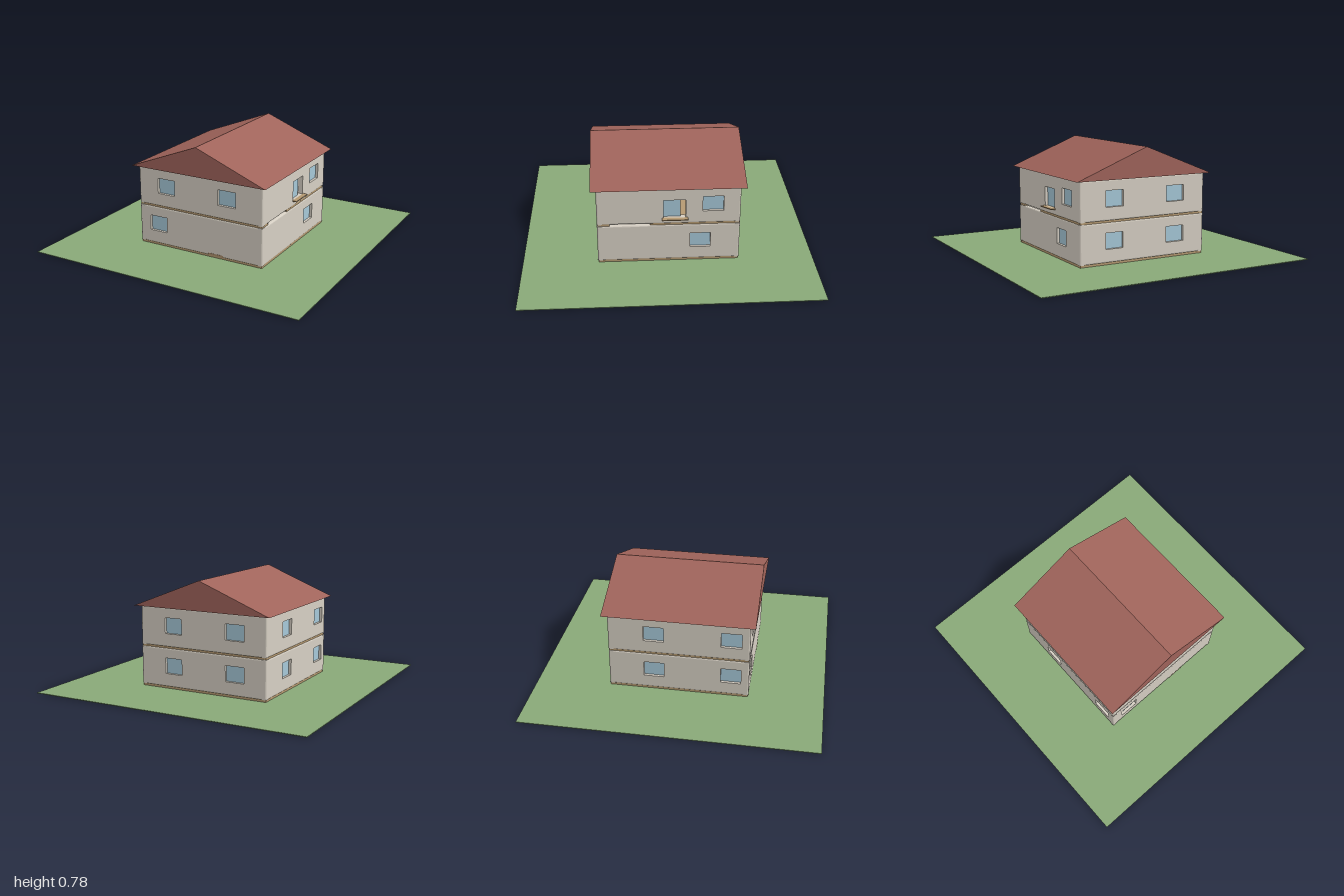
import * as THREE from 'three';

const HALF = 0.485;      // half width of the house
const THICK = 0.04;      // wall thickness
const BEVEL = 0.01;      // rounding of wall edges

const mat = (color, extra = {}) => new THREE.MeshStandardMaterial({ color, ...extra });
const wallMat = mat(0xd6cfc3);
const glassMat = mat(0xa6c8d8);
const doorMat = mat(0xa88a6a);
const slabMat = mat(0xb59a72);
const roofMat = mat(0xa0645b, { flatShading: true });
const grassMat = mat(0x88a878);

function box(name, material, [x0, x1], [y0, y1], [z0, z1]) {
  const mesh = new THREE.Mesh(new THREE.BoxGeometry(x1 - x0, y1 - y0, z1 - z0), material);
  mesh.position.set((x0 + x1) / 2, (y0 + y1) / 2, (z0 + z1) / 2);
  mesh.name = name;
  return mesh;
}

function rectangle(path, x0, x1, y0, y1) {
  path.moveTo(x0, y0);
  path.lineTo(x1, y0);
  path.lineTo(x1, y1);
  path.lineTo(x0, y1);
  path.closePath();
  return path;
}

// Wall panel with rounded outer edges and square-cut openings [x0, x1, y0, y1]
function wallGeometry(y0, y1, openings) {
  const shape = rectangle(new THREE.Shape(), -HALF, HALF, y0, y1);
  shape.holes = openings.map((o) => rectangle(new THREE.Path(), ...o));
  const geo = new THREE.ExtrudeGeometry(shape, {
    depth: THICK - 2 * BEVEL, bevelEnabled: true, bevelThickness: BEVEL,
    bevelSize: BEVEL, bevelOffset: -BEVEL, bevelSegments: 3,
  });
  geo.translate(0, 0, HALF - THICK + BEVEL);
  // Pull the bevel of the openings back to straight reveals
  const p = geo.attributes.position;
  const e = BEVEL + 0.001;
  for (let i = 0; i < p.count; i++) {
    const x = p.getX(i), y = p.getY(i);
    for (const [a, b, c, d] of openings) {
      if (x > a - e && x < b + e && y > c - e && y < d + e) {
        p.setX(i, THREE.MathUtils.clamp(x, a, b));
        p.setY(i, THREE.MathUtils.clamp(y, c, d));
      }
    }
  }
  geo.computeVertexNormals();
  return geo;
}

// One storey wall with its glazing, facing +z and then turned to its side
function wall(name, angle, [y0, y1], windows, extraOpenings = []) {
  const g = new THREE.Group();
  g.name = name;
  const sill = y0 + 0.09, head = y0 + 0.2;
  const openings = windows.map(([a, b]) => [a, b, sill, head]);
  const panel = new THREE.Mesh(wallGeometry(y0, y1, [...openings, ...extraOpenings]), wallMat);
  panel.name = 'wallPanel';
  g.add(panel);
  for (const [a, b, c, d] of openings) {
    g.add(box('windowGlass', glassMat, [a, b], [c, d], [HALF - 0.025, HALF - 0.019]));
  }
  g.rotation.y = angle;
  return g;
}

export function createModel() {
  const house = new THREE.Group();
  house.name = 'house';

  // Lawn and ground slab
  house.add(box('lawn', grassMat, [-1, 1], [0, 0.005], [-1, 1]));
  house.add(box('groundSlab', slabMat, [-0.48, 0.48], [0.005, 0.022], [-0.48, 0.48]));

  // Upper floor slab, notched at the side for the stairwell
  const s = 0.48;
  const floor = new THREE.Shape(
    [[-s, -s], [s, -s], [s, -0.4], [0.2, -0.4], [0.2, -0.125], [s, -0.125], [s, s], [-s, s]]
      .map(([x, y]) => new THREE.Vector2(x, y)));
  const slab = new THREE.Mesh(
    new THREE.ExtrudeGeometry(floor, { depth: 0.018, bevelEnabled: false }), slabMat);
  slab.rotation.x = -Math.PI / 2;
  slab.position.y = 0.287;
  slab.name = 'upperFloorSlab';
  house.add(slab);

  // Walls of both storeys
  const lower = [0.02, 0.29], upper = [0.302, 0.575];
  const Q = Math.PI / 2;
  const backWindows = [[-0.29, -0.16], [0.18, 0.32]];
  const leftWindows = [[-0.24, -0.1], [0.29, 0.43]];
  const lowerFront = wall('lowerFrontWall', 0, lower, [[-0.4, -0.265]], [[0.07, 0.185, 0.034, 0.21]]);
  const upperSide = wall('upperBalconyWall', Q, upper, [[0.23, 0.37]], [[-0.035, 0.115, 0.346, 0.48]]);
  house.add(
    lowerFront,
    upperSide,
    wall('lowerBalconySideWall', Q, lower, [[0.145, 0.285]]),
    wall('upperFrontWall', 0, upper, [[-0.33, -0.195], [0.145, 0.285]]),
  );
  for (const [level, name] of [[lower, 'lower'], [upper, 'upper']]) {
    house.add(wall(name + 'BackWall', 2 * Q, level, backWindows));
    house.add(wall(name + 'PlainSideWall', -Q, level, leftWindows));
  }

  // Front door with its threshold
  lowerFront.add(box('frontDoor', doorMat, [0.07, 0.18], [0.03, 0.21], [HALF - 0.026, HALF - 0.016]));
  lowerFront.add(box('threshold', doorMat, [0.07, 0.185], [0.022, 0.034], [HALF - 0.04, HALF + 0.001]));

  // Half-open balcony door and the narrow balcony
  upperSide.add(box('balconyDoorGlass', glassMat, [-0.035, 0.08], [0.346, 0.48], [HALF - 0.026, HALF - 0.02]));
  upperSide.add(box('balconySlab', slabMat, [-0.045, 0.13], [0.339, 0.346], [HALF - 0.04, 0.517]));

  // Gabled roof
  const gable = new THREE.Shape();
  gable.moveTo(-0.52, 0.575);
  gable.lineTo(0.52, 0.575);
  gable.lineTo(0, 0.78);
  gable.closePath();
  const roof = new THREE.Mesh(
    new THREE.ExtrudeGeometry(gable, { depth: 1.04, bevelEnabled: false }), roofMat);
  roof.position.z = -0.52;
  roof.name = 'roof';
  house.add(roof);

  return house;
}
